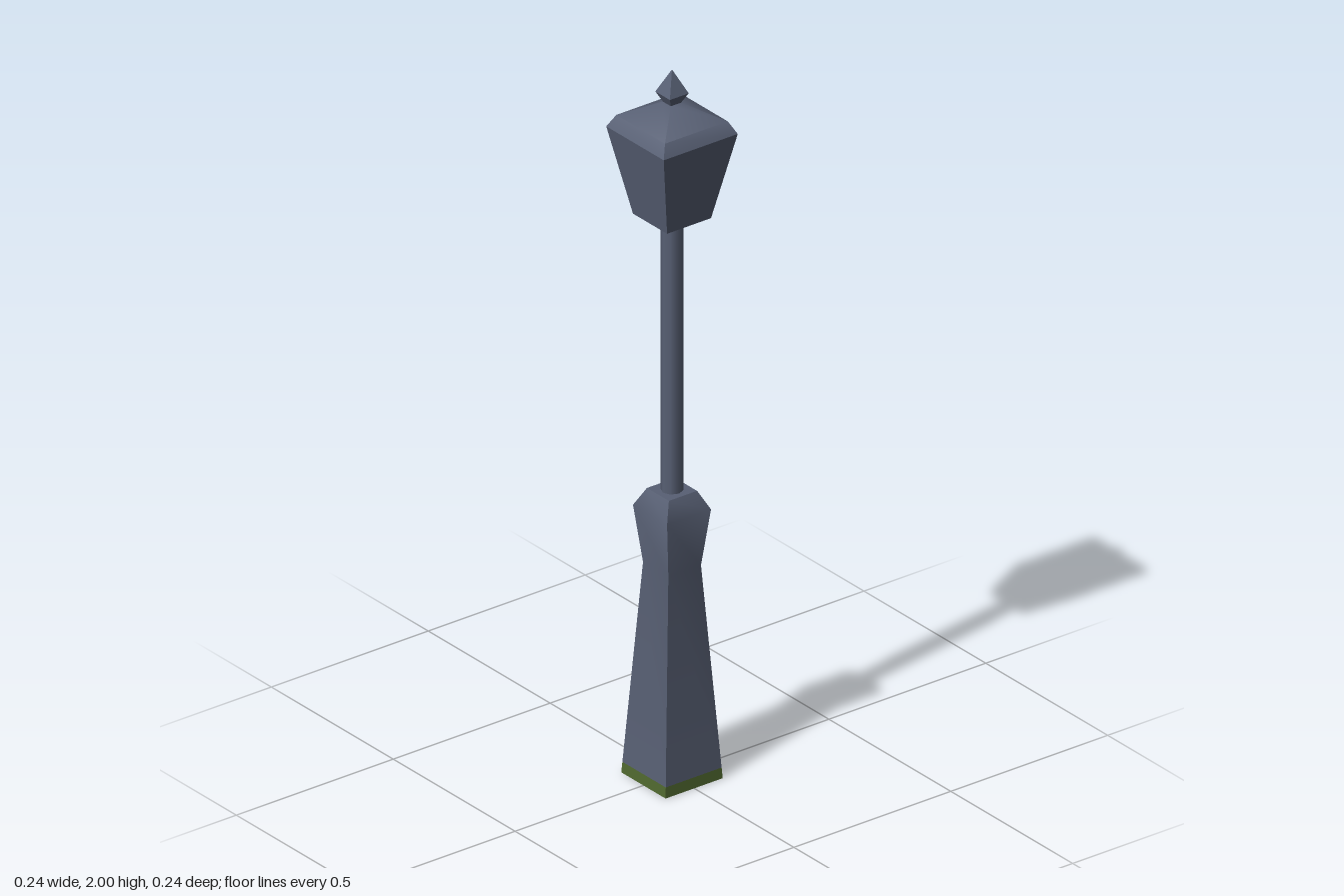
import * as THREE from 'three';
import { toCreasedNormals } from 'three/addons/utils/BufferGeometryUtils.js';

const iron = new THREE.MeshStandardMaterial({ color: 0x586074, side: THREE.DoubleSide });
iron.name = 'blue grey iron';
const moss = new THREE.MeshStandardMaterial({ color: 0x50682f, side: THREE.DoubleSide });
moss.name = 'moss green';

// Square loft: profile is a list of [half width, height], from bottom to top
function squareLoft(name, profile, material, crease = 0.6) {
  const points = profile.map(([half, y]) => new THREE.Vector2(half * Math.SQRT2, y));
  const geometry = new THREE.LatheGeometry(points, 4, Math.PI / 4);
  const mesh = new THREE.Mesh(toCreasedNormals(geometry, crease), material);
  mesh.name = name;
  return mesh;
}

export function createModel() {
  const group = new THREE.Group();
  group.name = 'streetLamp';

  // Mossy foot and hollow pedestal, open underneath
  group.add(squareLoft('mossyFoot', [[0.091, 0], [0.089, 0.03]], moss));
  group.add(squareLoft('pedestal',
    [[0.089, 0.03], [0.052, 0.6], [0.07, 0.76], [0.045, 0.81], [0, 0.81]], iron));

  // Slim round pole
  const pole = new THREE.Mesh(new THREE.CylinderGeometry(0.029, 0.029, 0.79, 8, 1, true), iron);
  pole.name = 'pole';
  pole.position.y = 1.2;
  group.add(pole);

  // Lantern widening upwards, then its roof and pointed finial
  group.add(squareLoft('lantern', [[0, 1.585], [0.07, 1.585], [0.118, 1.828]], iron));
  group.add(squareLoft('roof',
    [[0.118, 1.828], [0.1, 1.862], [0.015, 1.908], [0, 1.908]], iron, 0.8));
  group.add(squareLoft('finial', [[0.015, 1.905], [0.03, 1.935], [0, 2]], iron));

  return group;
}
